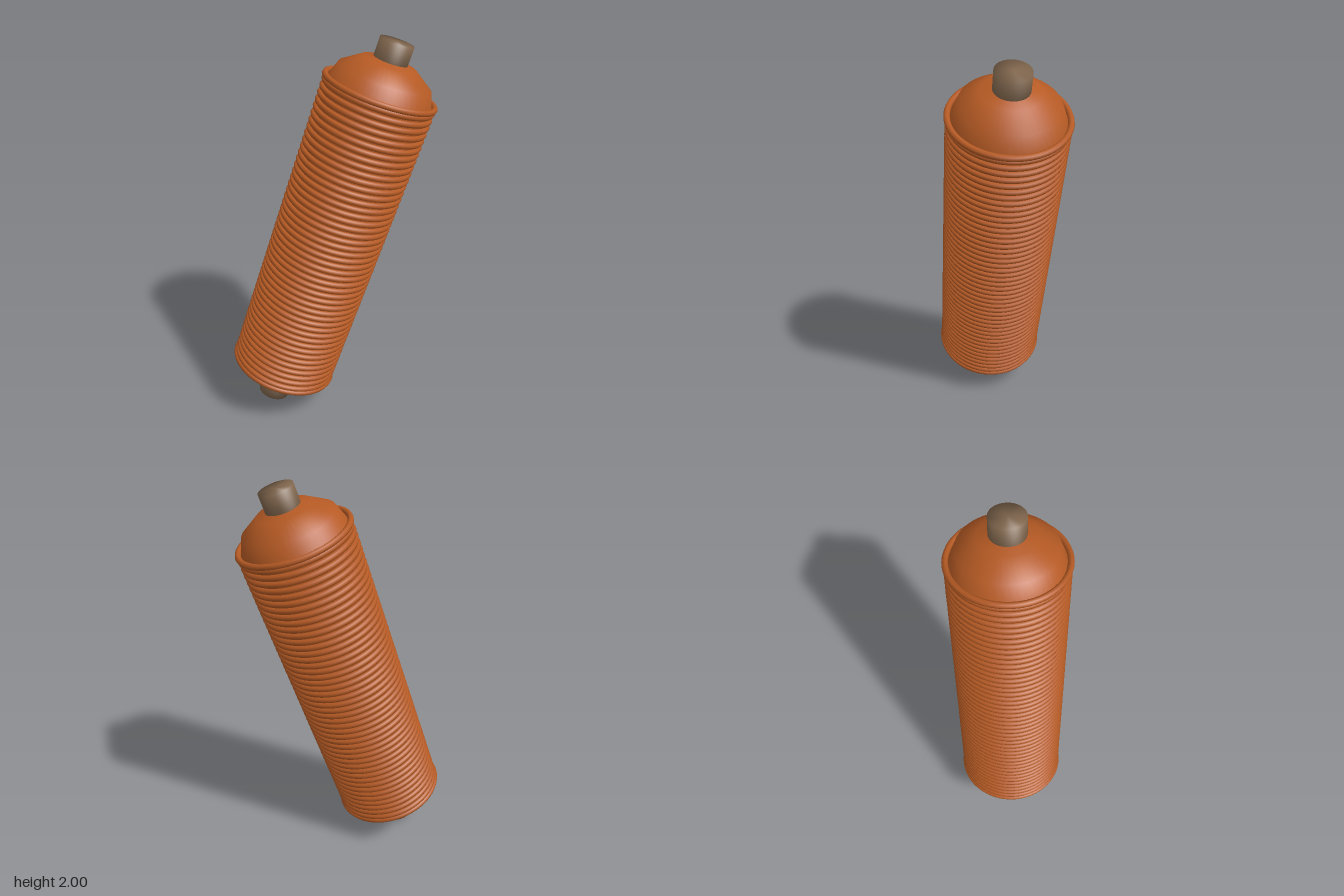
import * as THREE from 'three';

export function createModel() {
  const copper = new THREE.MeshStandardMaterial({ color: 0xb55a24 });
  copper.name = 'copper wire';
  const peg = new THREE.MeshStandardMaterial({ color: 0x80664d });
  peg.name = 'dull metal';

  const model = new THREE.Group();
  model.name = 'tiltedCoil';

  // The whole coil leans along one axis through its middle
  const coil = new THREE.Group();
  coil.name = 'coil';
  coil.position.y = 1;
  const axis = new THREE.Vector3(0.29, 1, 0.148).normalize();
  coil.quaternion.setFromUnitVectors(new THREE.Vector3(0, 1, 0), axis);
  model.add(coil);

  const add = (name, geometry, material, y = 0) => {
    const mesh = new THREE.Mesh(geometry, material);
    mesh.name = name;
    mesh.position.y = y;
    coil.add(mesh);
    return mesh;
  };
  const lathe = (points) =>
    new THREE.LatheGeometry(points.map(([r, y]) => new THREE.Vector2(r, y)), 48);

  // Core under the winding
  add('core', new THREE.CylinderGeometry(0.262, 0.262, 1.6, 48, 1, true), copper, -0.01);

  // Wire turns
  const turns = 46;
  const low = -0.79, high = 0.765;
  const turnShape = new THREE.TorusGeometry(0.265, 0.0145, 8, 56).rotateX(Math.PI / 2);
  for (let i = 0; i < turns; i++) {
    add('wireTurn', turnShape, copper, low + ((high - low) * i) / (turns - 1));
  }

  // Slightly wider turns at both rims
  const rimShape = new THREE.TorusGeometry(0.27, 0.0145, 8, 56).rotateX(Math.PI / 2);
  for (const y of [0.788, -0.812]) add('rimTurn', rimShape, copper, y);

  // Shallow domes and pegs, the same at both ends
  const domeProfile = [];
  for (let i = 0; i <= 3; i++) {
    const a = (i * Math.PI) / 6;
    domeProfile.push([0.262 * Math.cos(a), 0.77 + 0.178 * Math.sin(a)]);
  }
  const domeShape = lathe(domeProfile);
  const pegShape = lathe([[0, 0.89], [0.083, 0.89], [0.083, 1.024], [0, 1.024]]);
  for (const side of ['top', 'bottom']) {
    const flip = side === 'bottom' ? Math.PI : 0;
    add(side + 'Dome', domeShape, copper).rotation.x = flip;
    add(side + 'Peg', pegShape, peg).rotation.x = flip;
  }
  return model;
}
